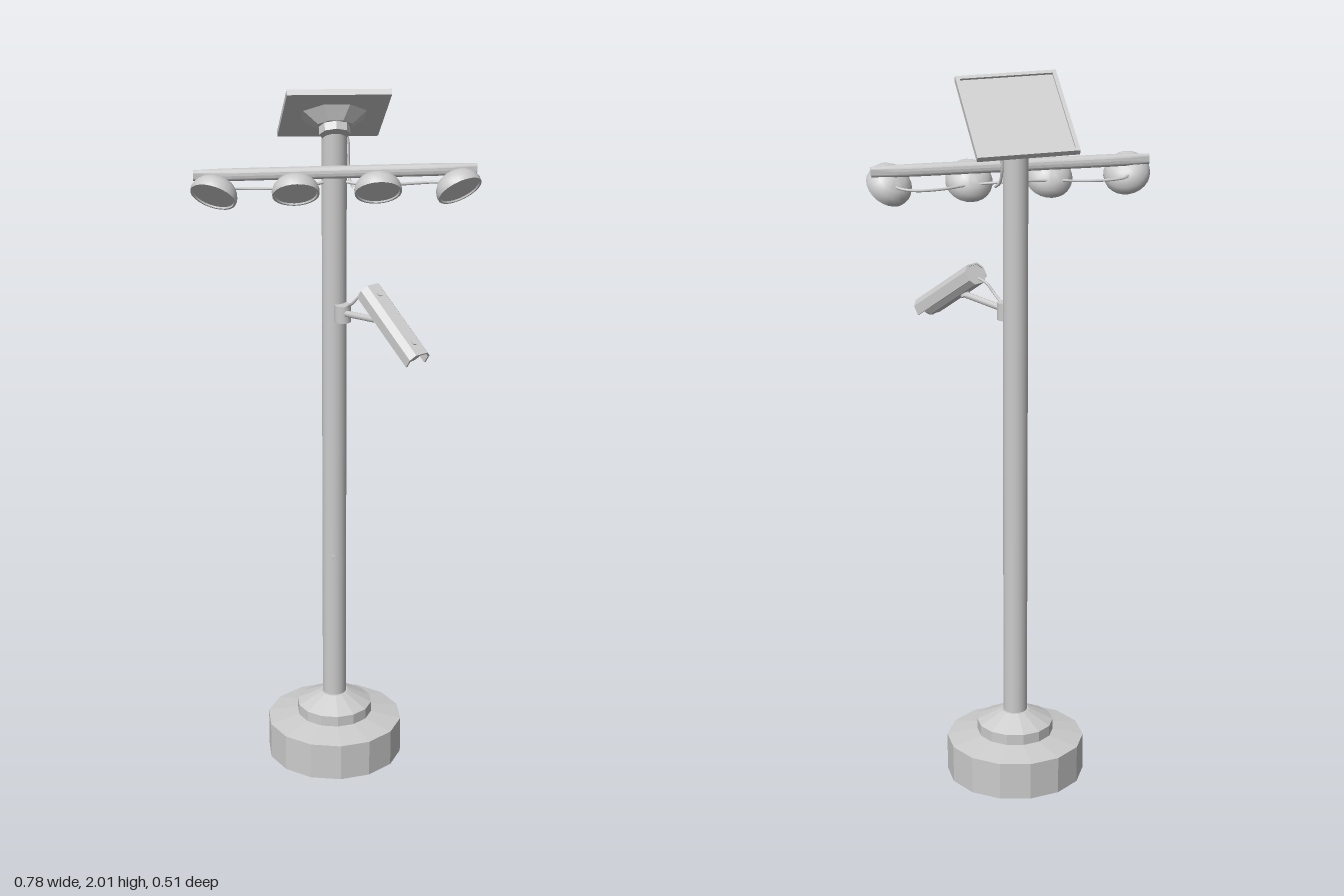
import * as THREE from 'three';
import { toCreasedNormals } from 'three/addons/utils/BufferGeometryUtils.js';

const V = (x, y, z) => new THREE.Vector3(x, y, z);
const P = (pts) => pts.map(([x, y]) => new THREE.Vector2(x, y));
const smooth = new THREE.MeshStandardMaterial({ color: 0xcccccc });
const flat = new THREE.MeshStandardMaterial({ color: 0xcccccc, flatShading: true });
const POLE_Z = -0.065;

function add(parent, name, geometry, material = smooth, pos = V(0, 0, 0)) {
  const mesh = new THREE.Mesh(geometry, material);
  mesh.name = name;
  mesh.position.copy(pos);
  parent.add(mesh);
  return mesh;
}

// round rod between two points
function rod(parent, name, a, b, r) {
  const mesh = add(parent, name, new THREE.CylinderGeometry(r, r, a.distanceTo(b), 10), smooth, a.clone().lerp(b, 0.5));
  mesh.quaternion.setFromUnitVectors(V(0, 1, 0), b.clone().sub(a).normalize());
  return mesh;
}

function cable(parent, name, pts, r = 0.004) {
  return add(parent, name, new THREE.TubeGeometry(new THREE.CatmullRomCurve3(pts), 24, r, 6));
}

function buildPole(root) {
  // stepped 14-sided footing with a hole underneath
  const footing = P([[0.034, 0], [0.195, 0], [0.195, 0.108], [0.108, 0.125], [0.108, 0.156], [0.04, 0.19], [0.034, 0.19]]);
  add(root, 'footing', new THREE.LatheGeometry(footing, 14), flat, V(0, 0, POLE_Z));
  add(root, 'pole', new THREE.CylinderGeometry(0.034, 0.034, 1.88, 20, 1, true), smooth, V(0, 0.94, POLE_Z));
  const bolt = add(root, 'poleBolt', new THREE.CylinderGeometry(0.007, 0.007, 0.008, 8), flat, V(-0.005, 0.632, POLE_Z + 0.035));
  bolt.rotation.x = Math.PI / 2;
}

function buildSolarPanel(root) {
  const g = new THREE.Group();
  g.name = 'solarPanel';
  g.position.set(-0.001, 1.912, -0.076);
  g.rotation.set(-0.62, 0.04, -0.025, 'YXZ');
  root.add(g);

  // raised rim around a recessed panel
  const w = 0.138, h = 0.146, rim = 0.011;
  const shape = new THREE.Shape(P([[-w, -h], [w, -h], [w, h], [-w, h]]));
  const a = w - rim, b = h - rim;
  shape.holes.push(new THREE.Path(P([[-a, -b], [-a, b], [a, b], [a, -b]])));
  const frame = new THREE.ExtrudeGeometry(shape, { depth: 0.016, bevelEnabled: false });
  frame.rotateX(-Math.PI / 2);
  add(g, 'panelFrame', frame, flat, V(0, -0.008, 0));
  add(g, 'panelPlate', new THREE.BoxGeometry(2 * a, 0.01, 2 * b), flat, V(0, -0.003, 0));

  // faceted mount under the panel
  const mount = new THREE.CylinderGeometry(0.092, 0.05, 0.032, 8);
  mount.rotateY(Math.PI / 8);
  mount.scale(1, 1, 0.85);
  add(g, 'panelMount', mount, flat, V(0, -0.024, 0.008));
  add(g, 'mountCollar', new THREE.CylinderGeometry(0.042, 0.042, 0.025, 8), flat, V(0, -0.05, 0.005));
}

function buildLamps(root) {
  // cross bar with pinched ends
  const bar = new THREE.CylinderGeometry(0.017, 0.017, 0.76, 14, 12);
  bar.rotateZ(Math.PI / 2);
  const p = bar.attributes.position;
  for (let i = 0; i < p.count; i++) {
    const t = THREE.MathUtils.clamp((Math.abs(p.getX(i)) - 0.3) / 0.08, 0, 1);
    p.setZ(i, p.getZ(i) * (1 - 0.6 * t));
    p.setY(i, p.getY(i) * (1 - 0.15 * t));
  }
  bar.computeVertexNormals();
  add(root, 'crossBar', toCreasedNormals(bar, 0.8), smooth, V(0, 1.766, -0.02));

  // domed lamp heads, the outer pair turned outward
  const profile = P([[0, 0.004], [0.056, 0.004], [0.058, 0], [0.063, 0], [0.064, 0.012],
    [0.059, 0.027], [0.047, 0.042], [0.028, 0.052], [0, 0.056]]);
  const headGeo = toCreasedNormals(new THREE.LatheGeometry(profile, 24), 0.6);
  for (const x of [-0.33, -0.11, 0.11, 0.33]) {
    const outer = Math.abs(x) > 0.2;
    const n = V(outer ? Math.sign(x) * 0.35 : 0, -0.72, 0.66).normalize();
    const centre = V(x, 1.716, 0.018);
    const head = add(root, 'lampHead', headGeo, smooth, centre);
    head.quaternion.setFromUnitVectors(V(0, -1, 0), n);
    rod(root, 'lampStem', centre.clone().addScaledVector(n, -0.04), V(x, 1.766, -0.02), 0.012);
  }

  // wiring behind the bar and down from the panel
  for (const s of [-1, 1]) {
    const sag = s > 0 ? -0.062 : -0.05;
    cable(root, 'lampCable', [V(s * 0.325, 1.73, -0.02), V(s * 0.31, 1.724, -0.045), V(s * 0.27, 1.72, sag),
      V(s * 0.2, 1.719, sag + 0.006), V(s * 0.12, 1.722, -0.035), V(s * 0.07, 1.725, -0.04), V(s * 0.025, 1.73, -0.055)]);
  }
  cable(root, 'panelCable', [V(0.03, 1.875, -0.085), V(0.04, 1.83, -0.083), V(0.04, 1.77, -0.08),
    V(0.042, 1.73, -0.062), V(0.05, 1.715, -0.042)]);
}

function buildCamera(root) {
  const g = new THREE.Group();
  g.name = 'camera';
  const centre = V(0.138, 1.383, 0.142);
  g.position.copy(centre);
  g.lookAt(centre.clone().add(V(0.12, -0.15, 0.187)));
  root.add(g);

  // rounded body under a chamfered hood
  const extrude = (pts, depth) => new THREE.ExtrudeGeometry(new THREE.Shape(P(pts)), { depth, bevelEnabled: false });
  const body = new THREE.CylinderGeometry(0.027, 0.027, 0.225, 16);
  body.rotateX(Math.PI / 2);
  add(g, 'cameraBody', toCreasedNormals(body, 0.8), smooth, V(0, -0.001, -0.008));
  add(g, 'cameraHood', extrude([[-0.034, -0.014], [-0.029, -0.014], [-0.029, 0.012], [-0.017, 0.025], [0.017, 0.025],
    [0.029, 0.012], [0.029, -0.014], [0.034, -0.014], [0.034, 0.014], [0.019, 0.03], [-0.019, 0.03], [-0.034, 0.014]], 0.25), flat, V(0, 0, -0.125));
  add(g, 'cameraBack', extrude([[-0.03, -0.014], [-0.018, -0.028], [0.018, -0.028], [0.03, -0.014], [0.03, 0.013],
    [0.018, 0.027], [-0.018, 0.027], [-0.03, 0.013]], 0.215), flat, V(0, 0, -0.122));
  const lens = new THREE.CylinderGeometry(0.018, 0.018, 0.006, 16);
  lens.rotateX(Math.PI / 2);
  add(g, 'lens', lens, smooth, V(0, 0, 0.106));
  for (const z of [-0.09, 0.085]) {
    add(g, 'hoodScrew', new THREE.CylinderGeometry(0.008, 0.008, 0.005, 10), flat, V(0, 0.031, z));
  }

  // wall block, arm and lead
  add(root, 'cameraBlock', new THREE.CylinderGeometry(0.023, 0.023, 0.048, 12), smooth, V(0.02, 1.367, -0.028));
  rod(root, 'cameraArm', V(0.025, 1.37, -0.015), V(0.108, 1.385, 0.098), 0.009);
  rod(root, 'cameraArmJoint', V(0.104, 1.38, 0.092), V(0.112, 1.405, 0.105), 0.014);
  cable(root, 'cameraLead', [V(0.076, 1.44, 0.055), V(0.058, 1.43, 0.028), V(0.043, 1.408, 0.012),
    V(0.034, 1.395, -0.006), V(0.025, 1.385, -0.02)]);
}

export function createModel() {
  const root = new THREE.Group();
  root.name = 'solarLightPole';
  buildPole(root);
  buildSolarPanel(root);
  buildLamps(root);
  buildCamera(root);
  return root;
}
